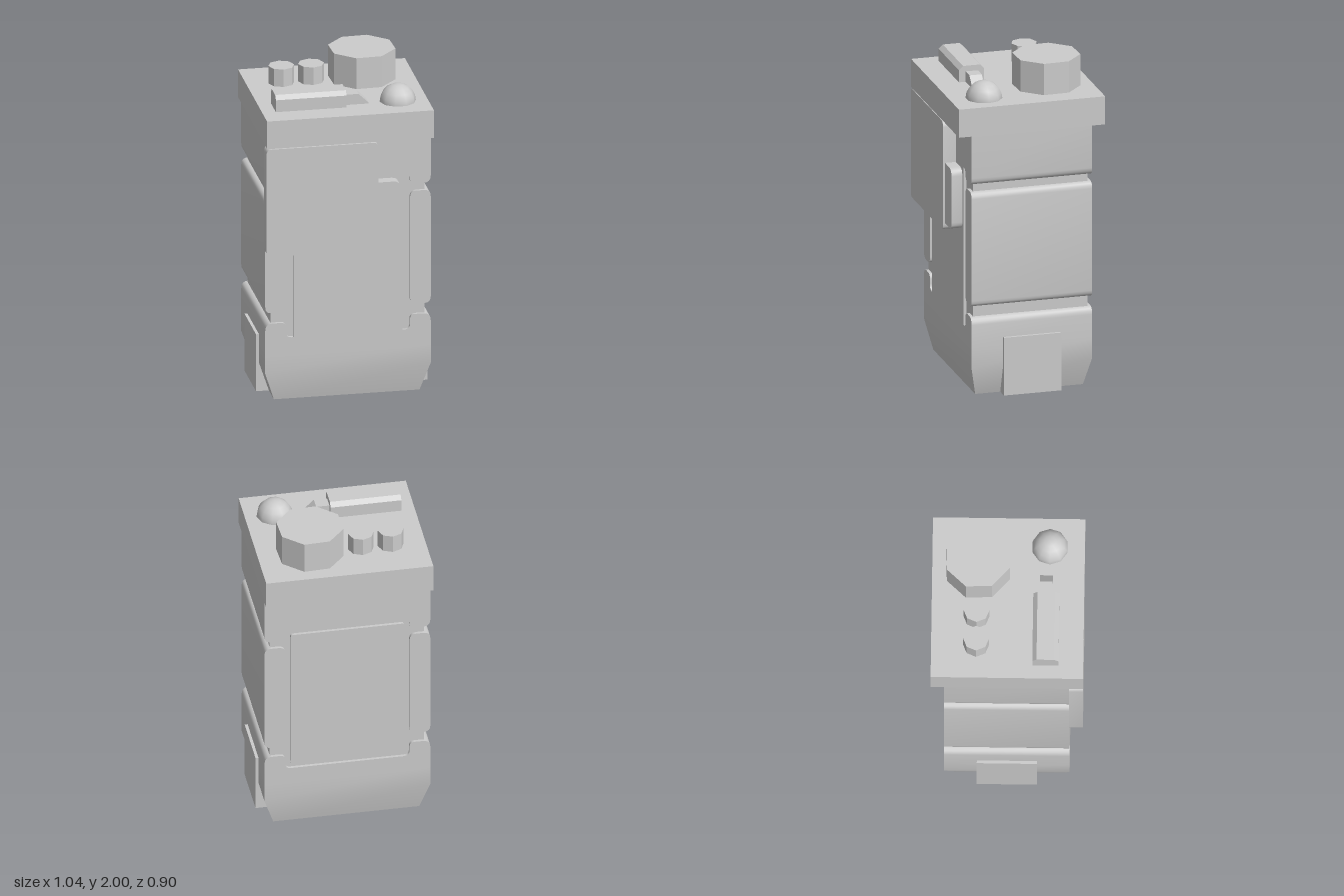
import * as THREE from 'three';
import { toCreasedNormals } from 'three/addons/utils/BufferGeometryUtils.js';

const material = new THREE.MeshStandardMaterial({ color: 0xcccccc });
const flat = new THREE.MeshStandardMaterial({ color: 0xcccccc, flatShading: true });
const open = new THREE.MeshStandardMaterial({ color: 0xcccccc, side: THREE.DoubleSide });

const HALF_DEPTH = 0.373;

export function createModel() {
  const group = new THREE.Group();

  const add = (name, geometry, x = 0, y = 0, z = 0, mat = material) => {
    const mesh = new THREE.Mesh(geometry, mat);
    mesh.name = name;
    mesh.position.set(x, y, z);
    group.add(mesh);
    return mesh;
  };

  // Box given by its limits
  const box = (name, x0, x1, y0, y1, z0, z1) =>
    add(name, new THREE.BoxGeometry(x1 - x0, y1 - y0, z1 - z0),
      (x0 + x1) / 2, (y0 + y1) / 2, (z0 + z1) / 2);

  // Polygon with corners [x, y, radius]
  const roundedShape = (corners) => {
    const shape = new THREE.Shape();
    const n = corners.length;
    corners.forEach(([x, y, r = 0], i) => {
      const p = new THREE.Vector2(x, y);
      const toward = (c) => new THREE.Vector2(c[0], c[1]).sub(p).setLength(r).add(p);
      const a = toward(corners[(i + n - 1) % n]);
      const b = toward(corners[(i + 1) % n]);
      if (i === 0) shape.moveTo(a.x, a.y);
      else shape.lineTo(a.x, a.y);
      if (r > 0) shape.quadraticCurveTo(x, y, b.x, b.y);
    });
    shape.closePath();
    return shape;
  };

  const plate = (name, corners, z0, z1) => {
    const geometry = new THREE.ExtrudeGeometry(roundedShape(corners),
      { depth: z1 - z0, bevelEnabled: false, curveSegments: 4 });
    return add(name, toCreasedNormals(geometry, 0.7), 0, 0, z0);
  };

  const rectangle = (x0, x1, y0, y1, r) =>
    [[x0, y0, r], [x1, y0, r], [x1, y1, r], [x0, y1, r]];

  // Recessed core showing in the grooves
  box('core', -0.465, 0.465, 0.3, 1.7, -0.355, 0.355);

  // Upper band, notched above the panels
  plate('upperBand', [
    [-0.5, 1.7], [-0.5, 1.32, 0.045], [-0.375, 1.32, 0.03], [-0.375, 1.385, 0.035],
    [0.375, 1.385, 0.035], [0.375, 1.32, 0.03], [0.5, 1.32, 0.045], [0.5, 1.7],
  ], -HALF_DEPTH, HALF_DEPTH);

  // Lower band, notched below the panels
  plate('lowerBand', [
    [-0.5, 0.3], [0.5, 0.3], [0.5, 0.495, 0.045], [0.375, 0.495, 0.03], [0.375, 0.4, 0.035],
    [-0.375, 0.4, 0.035], [-0.375, 0.495, 0.03], [-0.5, 0.495, 0.045],
  ], -HALF_DEPTH, HALF_DEPTH);

  // Side blocks between the bands
  for (const s of [-1, 1]) {
    const [x0, x1] = s > 0 ? [0.375, 0.5] : [-0.5, -0.375];
    plate(s > 0 ? 'leftSideBlock' : 'rightSideBlock',
      rectangle(x0, x1, 0.56, 1.275, 0.04), -HALF_DEPTH, HALF_DEPTH);
  }

  // Front panel runs into both bands, back panel has a groove all round
  box('frontPanel', -0.33, 0.33, 0.39, 1.4, 0.3, HALF_DEPTH);
  plate('backPanel', rectangle(-0.342, 0.342, 0.43, 1.358, 0.015), -HALF_DEPTH, -0.3);

  // Tapered skirt, open at the bottom
  const rings = [[0, 0.44, 0.333], [0.18, 0.5, HALF_DEPTH], [0.3, 0.5, HALF_DEPTH]];
  const signs = [[1, 1], [1, -1], [-1, -1], [-1, 1]];
  const positions = [];
  const indices = [];
  for (const [y, hx, hz] of rings)
    for (const [sx, sz] of signs) positions.push(sx * hx, y, sz * hz);
  for (let r = 0; r < rings.length - 1; r++)
    for (let i = 0; i < 4; i++) {
      const a = r * 4 + i;
      const b = r * 4 + (i + 1) % 4;
      indices.push(a, b, b + 4, a, b + 4, a + 4);
    }
  const skirt = new THREE.BufferGeometry();
  skirt.setAttribute('position', new THREE.Float32BufferAttribute(positions, 3));
  skirt.setIndex(indices);
  add('skirt', toCreasedNormals(skirt, 0.7), 0, 0, 0, open);

  // Feet on both sides
  for (const s of [-1, 1])
    add(s > 0 ? 'leftFoot' : 'rightFoot', new THREE.BoxGeometry(0.09, 0.36, 0.356), s * 0.473, 0.18, 0);

  // Front door and the smaller plate beside it
  plate('door', rectangle(-0.508, 0.17, 0.947, 1.625, 0.035), 0.37, 0.452);
  plate('sidePlate', [
    [0.15, 0.99], [0.307, 0.99, 0.045], [0.307, 1.367, 0.045], [0.15, 1.367],
  ], 0.36, 0.44);

  // Lid
  box('lid', -0.504, 0.504, 1.63, 1.805, -0.452, 0.452);

  // Octagonal knobs
  const knob = (name, x, z, r, top, turn) => {
    const mesh = add(name, new THREE.CylinderGeometry(r, r, top - 1.8, 8), x, (top + 1.8) / 2, z, flat);
    mesh.rotation.y = turn;
  };
  knob('largeKnob', 0.19, -0.18, 0.203, 2, -0.35);
  knob('smallKnobOuter', -0.295, -0.185, 0.078, 1.915, 0);
  knob('smallKnobInner', -0.115, -0.185, 0.078, 1.915, 0);

  // Dome
  add('dome', new THREE.SphereGeometry(0.11, 10, 5, 0, Math.PI * 2, 0, Math.PI / 2), 0.325, 1.802, 0.245);

  // Bar with chamfered top edges: profile across z, extruded along x
  const barShape = roundedShape([
    [-0.305, 1.8], [-0.15, 1.8], [-0.15, 1.88], [-0.175, 1.905], [-0.28, 1.905], [-0.305, 1.88],
  ]);
  const bar = new THREE.ExtrudeGeometry(barShape, { depth: 0.427, bevelEnabled: false });
  bar.rotateY(Math.PI / 2);
  add('bar', bar, -0.422, 0, 0);

  // Sloping tip of the bar
  plate('barTip', [[0, 1.8], [0.145, 1.8], [0.145, 1.812], [0.085, 1.87], [0, 1.87]], 0.188, 0.264);

  return group;
}
